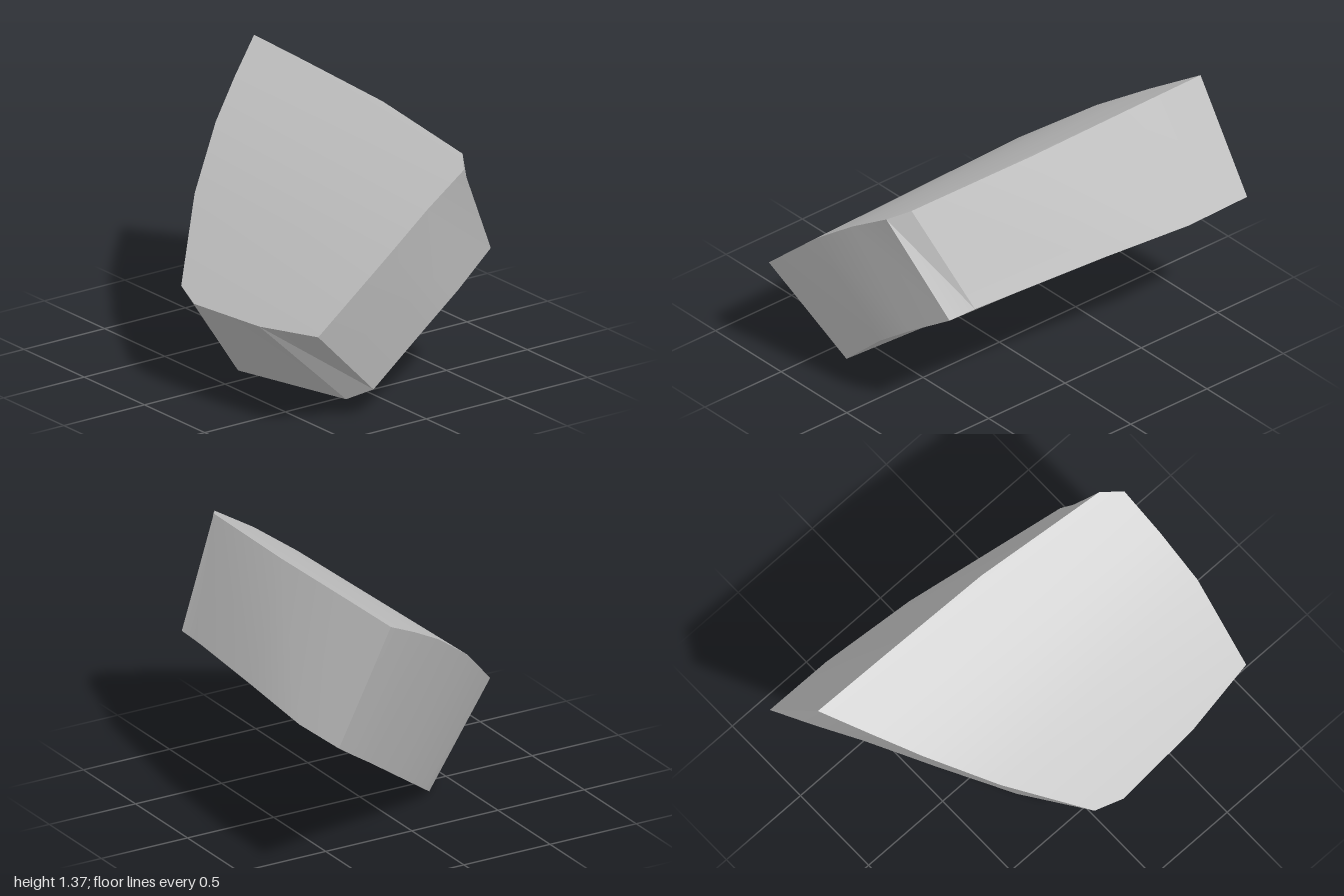
import * as THREE from 'three';
import { toCreasedNormals } from 'three/addons/utils/BufferGeometryUtils.js';

// Each entry pairs a point on the upper rim with the one below it on the lower rim.
// Back rim, from -x to +x
const back = [
  [[-0.73, 0.49, 0.05], [-0.33, 0.0, -0.12]],
  [[-0.69, 0.53, -0.11], [-0.24, 0.07, -0.22]],
  [[-0.36, 0.85, -0.44], [0.08, 0.31, -0.48]],
  [[-0.05, 1.09, -0.68], [0.36, 0.52, -0.7]],
  [[0.18, 1.235, -0.83], [0.55, 0.66, -0.86]],
  [[0.405, 1.365, -0.97], [0.725, 0.79, -1.0]],
];
// Side rim, from back to front
const side = [
  [[0.4, 1.355, -0.55], [0.725, 0.78, -0.62]],
  [[0.39, 1.335, 0.12], [0.68, 0.785, -0.1]],
];
// Front rim, from -x to +x
const front = [
  [[-0.7, 0.51, 0.55], [-0.28, 0.08, 0.71]],
  [[-0.64, 0.56, 0.96], [-0.2, 0.15, 0.83]],
  [[-0.24, 0.91, 1.0], [0.09, 0.41, 0.86]],
  [[0.02, 1.1, 0.985], [0.31, 0.57, 0.85]],
  [[0.26, 1.25, 0.965], [0.55, 0.725, 0.8]],
  [[0.33, 1.29, 0.86], [0.57, 0.74, 0.65]],
];

// Flat polygon as a fan of triangles
function addPolygon(out, ...points) {
  for (let i = 1; i < points.length - 1; i++) out.push(...points[0], ...points[i], ...points[i + 1]);
}

function makeMesh(name, positions, material) {
  const geometry = new THREE.BufferGeometry();
  geometry.setAttribute('position', new THREE.Float32BufferAttribute(positions, 3));
  const mesh = new THREE.Mesh(toCreasedNormals(geometry, 0.45), material);
  mesh.name = name;
  return mesh;
}

// Curved cap: strips between the front and back rims, then a fan along the side
function capPositions(level) {
  const out = [];
  const add = (...pairs) => {
    const points = pairs.map((pair) => pair[level]);
    addPolygon(out, ...(level === 0 ? points : points.reverse()));
  };
  for (let i = 0; i < 5; i++) add(front[i], front[i + 1], back[i + 1], back[i]);
  add(front[5], side[1], side[0], back[5]);
  return out;
}

// Walls joining the two rims all the way round
function wallPositions() {
  const loop = [...back, ...side, ...[...front].reverse()];
  const out = [];
  loop.forEach((a, i) => {
    const b = loop[(i + 1) % loop.length];
    addPolygon(out, b[0], b[1], a[1], a[0]);
  });
  return out;
}

export function createModel() {
  const stone = new THREE.MeshStandardMaterial({ color: 0xbfbfbf });
  stone.name = 'stone grey';
  const group = new THREE.Group();
  group.name = 'stoneFragment';
  group.add(
    makeMesh('upperFace', capPositions(0), stone),
    makeMesh('lowerFace', capPositions(1), stone),
    makeMesh('brokenEdges', wallPositions(), stone),
  );
  return group;
}
